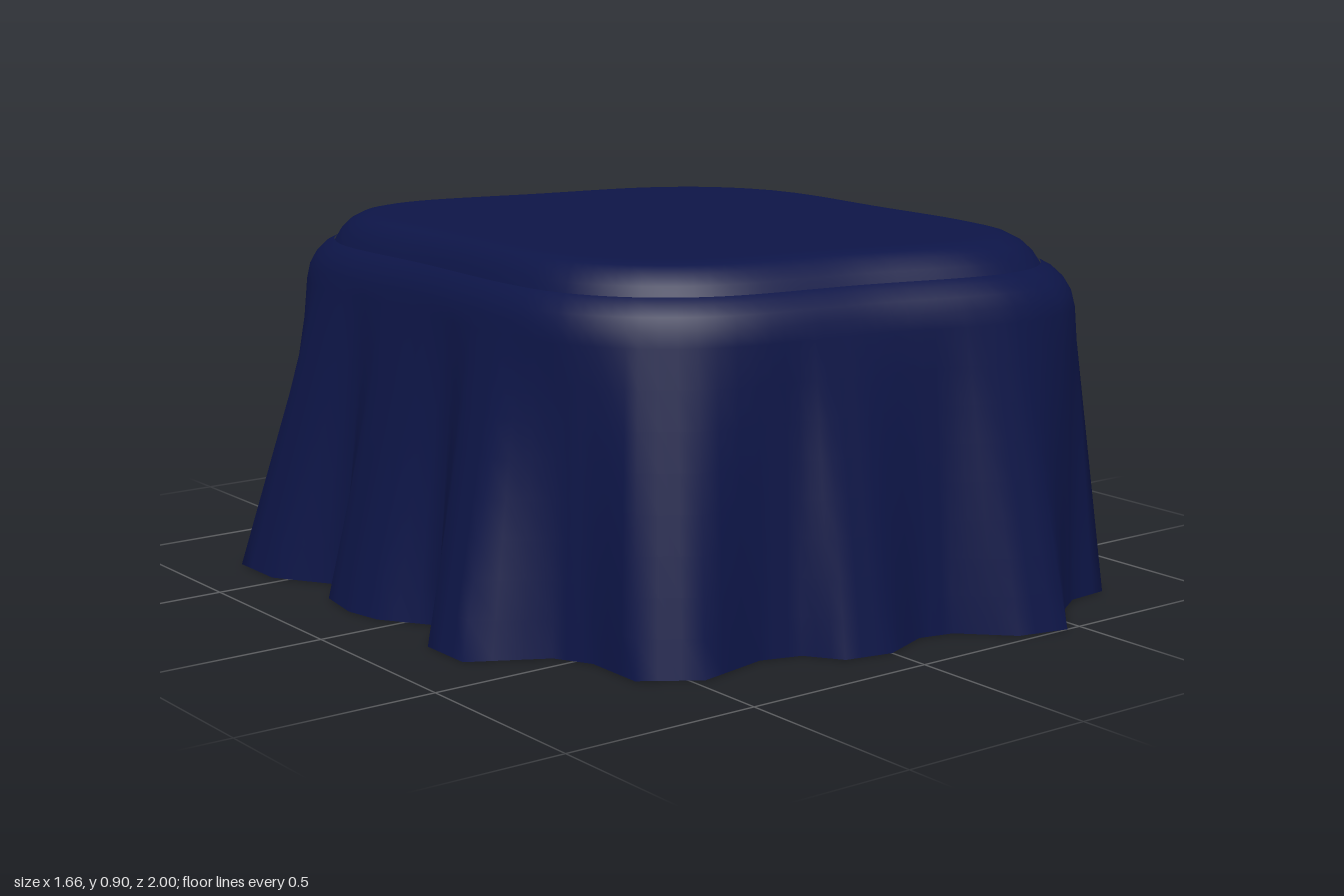
import * as THREE from 'three';

// Wavy hem outline as x, z pairs
const HEM = [
  -0.60, -0.96, -0.46, -1.00, -0.26, -0.88, -0.17, -0.86, -0.12, -0.93, 0.01, -0.90,
  0.14, -0.79, 0.23, -0.77, 0.34, -0.82, 0.47, -0.79, 0.57, -0.62, 0.65, -0.54,
  0.77, -0.48, 0.79, -0.17, 0.83, -0.07, 0.83, 0.07, 0.79, 0.18, 0.83, 0.30,
  0.83, 0.43, 0.79, 0.52, 0.765, 0.82, 0.65, 0.83, 0.57, 0.88, 0.46, 1.00,
  0.33, 0.97, 0.22, 0.86, 0.13, 0.84, 0.00, 0.89, -0.12, 0.865, -0.18, 0.78,
  -0.28, 0.75, -0.47, 0.79, -0.60, 0.70, -0.60, 0.54, -0.65, 0.45, -0.83, 0.35,
  -0.83, 0.20, -0.72, 0.07, -0.81, -0.06, -0.83, -0.16, -0.81, -0.29, -0.72, -0.37,
  -0.83, -0.54, -0.83, -0.70, -0.66, -0.74, -0.60, -0.81,
];

// Skewed, rounded outline of the raised top as x, z pairs
const TOP = [
  -0.60, -0.16, -0.60, -0.55, -0.53, -0.69, -0.43, -0.765, -0.30, -0.78, 0.05, -0.70,
  0.40, -0.62, 0.56, -0.52, 0.66, -0.38, 0.70, -0.23, 0.70, 0.13, 0.70, 0.50,
  0.66, 0.66, 0.56, 0.765, 0.41, 0.80, 0.04, 0.715, -0.32, 0.64, -0.48, 0.53,
  -0.57, 0.39, -0.60, 0.24,
];

const toPoints = (list) =>
  Array.from({ length: list.length / 2 }, (_, i) => new THREE.Vector3(list[2 * i], 0, list[2 * i + 1]));

// Distance from the centre to a closed outline along the direction of p
function reach(outline, p) {
  const dx = p.x / p.length(), dz = p.z / p.length();
  for (let i = 0; i < outline.length; i++) {
    const a = outline[i], b = outline[(i + 1) % outline.length];
    const ca = dx * a.z - dz * a.x, cb = dx * b.z - dz * b.x;
    if (ca <= 0 && cb > 0) {
      const t = ca / (ca - cb);
      const r = dx * (a.x + (b.x - a.x) * t) + dz * (a.z + (b.z - a.z) * t);
      if (r > 0) return r;
    }
  }
  return 0.75;
}

// Skin a list of closed rings; the outside shows when rings run downwards
function loft(rings) {
  const n = rings[0].length, index = [];
  for (let i = 0; i < rings.length - 1; i++) {
    for (let j = 0; j < n; j++) {
      const k = (j + 1) % n;
      const a = i * n + j, b = i * n + k, c = a + n, d = b + n;
      index.push(a, b, c, b, d, c);
    }
  }
  const geometry = new THREE.BufferGeometry().setFromPoints(rings.flat());
  geometry.setIndex(index);
  geometry.computeVertexNormals();
  return geometry;
}

export function createModel() {
  const group = new THREE.Group();
  const navy = new THREE.MeshStandardMaterial({ color: 0x0d1547 });
  const grey = new THREE.MeshStandardMaterial({ color: 0xcccccc });

  // Subdivided hem, and the radius of the top outline in the same directions
  const corners = toPoints(HEM);
  const hem = corners.flatMap((p, i) =>
    [0, 1 / 3, 2 / 3].map((t) => p.clone().lerp(corners[(i + 1) % corners.length], t)));
  const topCurve = new THREE.CatmullRomCurve3(toPoints(TOP), true, 'centripetal').getPoints(200).slice(0, -1);
  const columns = hem.map((p) => ({
    x: p.x / p.length(), z: p.z / p.length(), hem: p.length(), top: reach(topCurve, p),
  }));

  // Ring scaled from the top outline, blended towards the hem by t
  const ring = (scale, y, t = 0, inset = 0) => columns.map((c) => {
    const r = Math.max(0, THREE.MathUtils.lerp(c.top * scale, c.hem, t) - inset);
    return new THREE.Vector3(c.x * r, y, c.z * r);
  });

  const topProfile = [
    [0, 0.905], [0.5, 0.905], [0.84, 0.905], [0.88, 0.904], [0.915, 0.898],
    [0.95, 0.883], [0.98, 0.858], [1.0, 0.83],
  ];
  const skirtProfile = [[1.0, 0.835], [1.03, 0.822], [1.06, 0.797], [1.08, 0.767], [1.09, 0.73]];
  const steps = 8;
  const drop = Array.from({ length: steps }, (_, i) => (i + 1) / steps);

  const topRings = (inset) => topProfile.map(([s, y]) => ring(s, y - inset, 0, inset));
  const skirtRings = (inset) => [
    ...skirtProfile.map(([s, y]) => ring(s, y - inset, 0, inset)),
    ...drop.map((t) => ring(1.09, (0.73 - inset) * (1 - t), t, inset)),
  ];

  const add = (name, rings, material) => {
    const mesh = new THREE.Mesh(loft(rings), material);
    mesh.name = name;
    group.add(mesh);
  };

  // Cushioned top and hanging cloth
  add('raisedTop', topRings(0), navy);
  add('clothSkirt', skirtRings(0), navy);

  // Inner lining, facing inwards
  const thickness = 0.015;
  add('topLining', topRings(thickness).reverse(), grey);
  add('skirtLining', skirtRings(thickness).reverse(), grey);

  // Hem edge closing the cloth thickness
  add('hemEdge', [ring(1, 0, 1), ring(1, 0, 1, thickness)], navy);

  return group;
}
